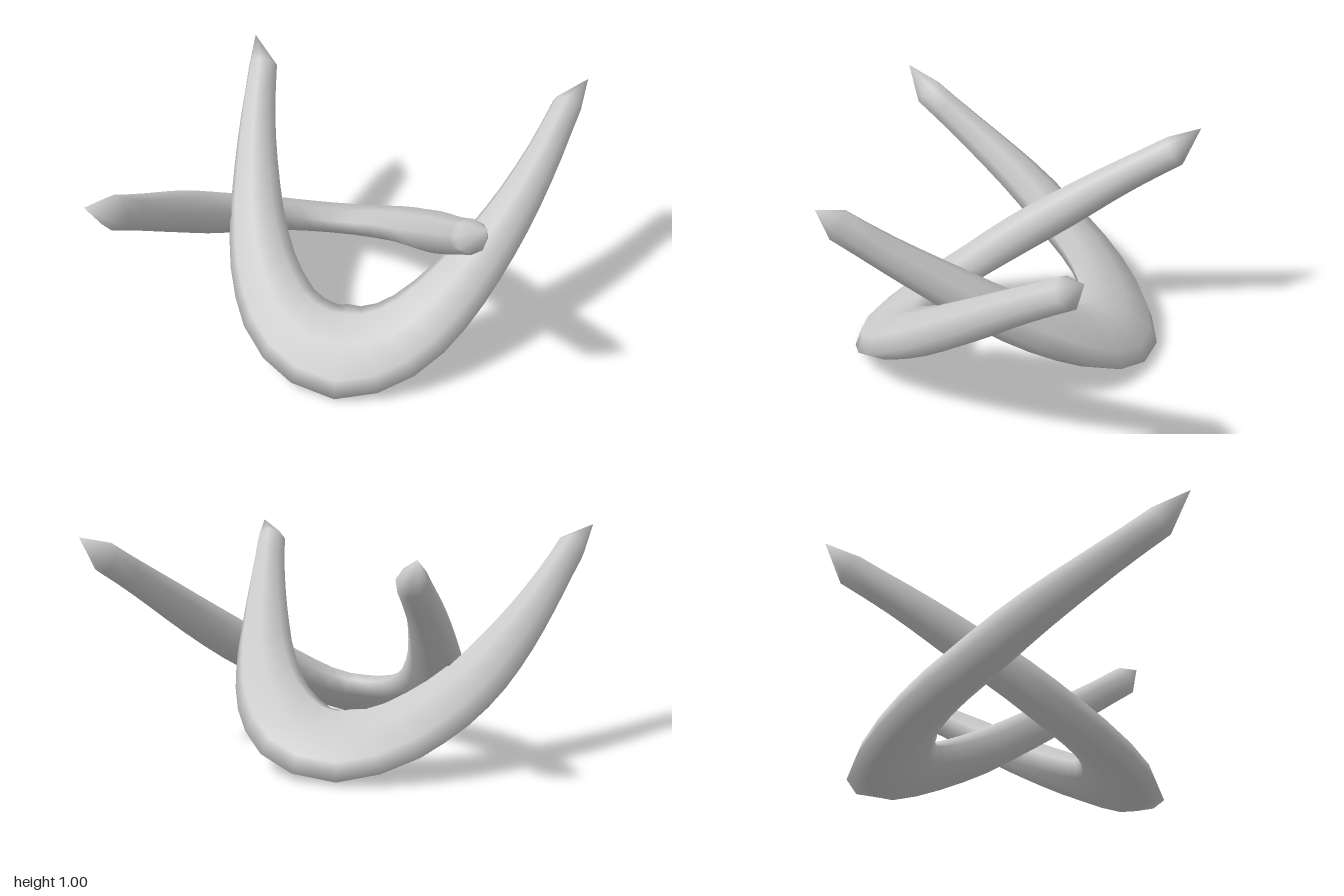
import * as THREE from 'three';

const RINGS = 26, SIDES = 8;
const V = (p) => new THREE.Vector3(...p);

// Curved, flattened horn: elliptical rings along an arc, closed by a point at each end
function horn(name, centres, startTip, endTip) {
  const curve = new THREE.CatmullRomCurve3(centres.map(V));
  const mid = curve.getPointAt(0.5);
  const normal = curve.getPointAt(1).sub(mid).cross(curve.getPointAt(0).sub(mid)).normalize();
  normal.y *= 1.13; // rings lie slightly flatter than the arc
  normal.normalize();
  const pos = [], index = [];
  for (let i = 0; i <= RINGS; i++) {
    const t = i / RINGS, p = curve.getPointAt(t), tangent = curve.getTangentAt(t);
    const side = normal.clone().cross(tangent).normalize();
    const up = tangent.clone().cross(side);
    // widest at the bend, thickest halfway up each arm
    const wide = 0.07 + 0.16 * Math.pow(1 - Math.abs(2 * t - 1), 1.3);
    const thick = 0.077 + 0.024 * Math.pow(Math.sin(2 * Math.PI * t), 2);
    for (let j = 0; j < SIDES; j++) {
      const a = (j / SIDES) * Math.PI * 2;
      const q = p.clone().addScaledVector(side, wide * Math.cos(a)).addScaledVector(up, thick * Math.sin(a));
      pos.push(q.x, q.y, q.z);
    }
  }
  pos.push(...startTip, ...endTip);
  const start = (RINGS + 1) * SIDES, end = start + 1, last = RINGS * SIDES;
  for (let j = 0; j < SIDES; j++) {
    const k = (j + 1) % SIDES;
    for (let i = 0; i < RINGS; i++) {
      const a = i * SIDES, b = a + SIDES;
      index.push(a + j, a + k, b + k, a + j, b + k, b + j);
    }
    index.push(start, k, j, last + j, last + k, end);
  }
  const geo = new THREE.BufferGeometry();
  geo.setAttribute('position', new THREE.Float32BufferAttribute(pos, 3));
  geo.setIndex(index);
  geo.computeVertexNormals();
  const mesh = new THREE.Mesh(geo, new THREE.MeshStandardMaterial({ color: 0xcccccc }));
  mesh.name = name;
  return mesh;
}

export function createModel() {
  const group = new THREE.Group();
  group.name = 'crossedHorns';

  // Horn with its bend at the front, arms rising to the back
  group.add(horn('frontHorn', [
    [-0.59, 0.895, -0.69], [-0.56, 0.72, -0.42], [-0.515, 0.555, -0.18], [-0.46, 0.415, 0.03],
    [-0.37, 0.28, 0.23], [-0.23, 0.18, 0.4], [-0.04, 0.137, 0.49], [0.13, 0.147, 0.485],
    [0.29, 0.2, 0.42], [0.43, 0.295, 0.31], [0.56, 0.41, 0.15], [0.7, 0.57, -0.06],
    [0.82, 0.745, -0.3], [0.915, 0.91, -0.56],
  ], [-0.65, 1, -0.8], [1, 1.01, -0.65]));

  // Horn with its bend at the back, arms rising to the front
  group.add(horn('backHorn', [
    [-0.925, 0.905, 0.67], [-0.865, 0.715, 0.38], [-0.79, 0.54, 0.11], [-0.69, 0.385, -0.12],
    [-0.56, 0.265, -0.32], [-0.38, 0.17, -0.47], [-0.18, 0.137, -0.525], [0, 0.165, -0.49],
    [0.18, 0.265, -0.35], [0.32, 0.4, -0.14], [0.43, 0.57, 0.1], [0.525, 0.74, 0.34],
    [0.6, 0.895, 0.55],
  ], [-1, 1.01, 0.8], [0.67, 0.99, 0.62]));

  return group;
}
